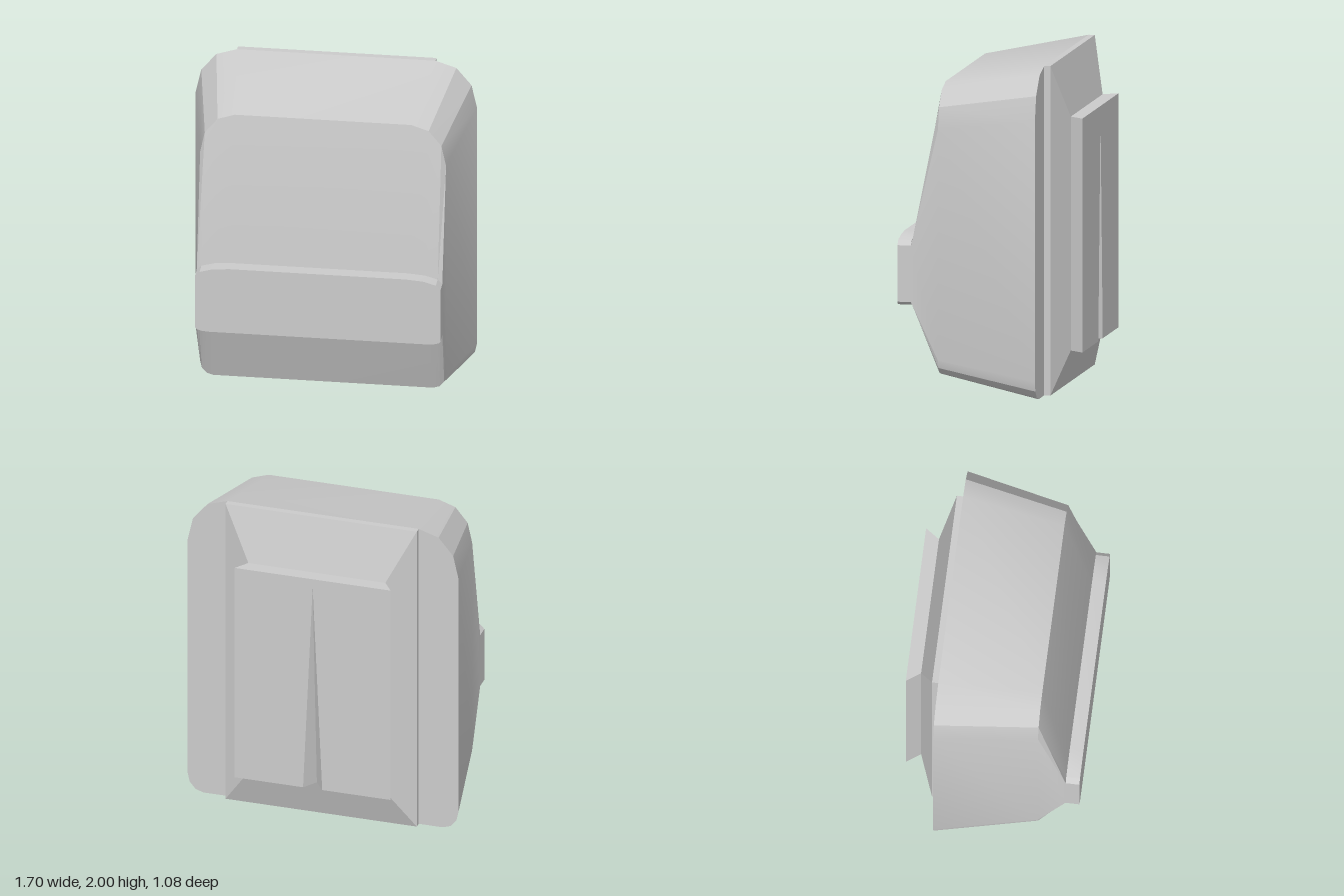
import * as THREE from 'three';
import { toCreasedNormals } from 'three/addons/utils/BufferGeometryUtils.js';

const material = new THREE.MeshStandardMaterial({ color: 0xcccccc });

function toMesh(positions, name, crease) {
  const geometry = new THREE.BufferGeometry();
  geometry.setAttribute('position', new THREE.Float32BufferAttribute(positions, 3));
  const mesh = new THREE.Mesh(toCreasedNormals(geometry, crease), material);
  mesh.name = name;
  return mesh;
}

// Convex polygon as a triangle fan, optionally flipped
function addFan(out, points, flip = false) {
  for (let i = 1; i < points.length - 1; i++) {
    const [b, c] = flip ? [points[i + 1], points[i]] : [points[i], points[i + 1]];
    out.push(...points[0], ...b, ...c);
  }
}

// Rounded outline with separate elliptical corners at the top and bottom
function roundedRing(z, w, bottom, top, topCorner, bottomCorner) {
  const steps = 3;
  const right = [];
  const [bx, by] = bottomCorner, [tx, ty] = topCorner;
  for (let i = 0; i <= steps; i++) {
    const a = (1 - i / steps) * Math.PI / 2;
    right.push([w - bx + bx * Math.cos(a), bottom + by - by * Math.sin(a), z]);
  }
  for (let i = 0; i <= steps; i++) {
    const a = (i / steps) * Math.PI / 2;
    right.push([w - tx + tx * Math.cos(a), top - ty + ty * Math.sin(a), z]);
  }
  return [...right, ...right.map(([x, y]) => [-x, y, z]).reverse()];
}

const rectRing = (z, w, bottom, top) =>
  [[w, bottom, z], [w, top, z], [-w, top, z], [-w, bottom, z]];

// Skin through rings ordered from back to front, closed at both ends
function loft(rings, name, crease) {
  const out = [];
  for (let r = 0; r < rings.length - 1; r++) {
    const n = rings[r].length;
    for (let i = 0; i < n; i++) {
      const j = (i + 1) % n;
      addFan(out, [rings[r][i], rings[r][j], rings[r + 1][j], rings[r + 1][i]]);
    }
  }
  addFan(out, rings[0], true);
  addFan(out, rings[rings.length - 1]);
  return toMesh(out, name, crease);
}

// Flared back pad, mirrored halves around a tapering V groove
function backPad() {
  const out = [];
  const zF = -0.455, zB = -0.54, low = 0.25, high = 1.67;
  for (const s of [1, -1]) {
    const flip = s < 0;
    const innerLow = [s * 0.43, low, zF], innerHigh = [s * 0.43, high, zF];
    const outerLow = [s * 0.49, low, zB], outerHigh = [s * 0.49, high, zB];
    const midFront = [0, high, zF], midBack = [0, high, zB];
    const apex = [0, 1.62, zB], lip = [s * 0.06, low, zB], valley = [0, low, zF];
    addFan(out, [outerHigh, outerLow, lip, apex, midBack], flip);
    addFan(out, [apex, lip, valley], flip);
    addFan(out, [valley, lip, outerLow, innerLow], flip);
    addFan(out, [midFront, innerHigh, outerHigh, midBack], flip);
    addFan(out, [innerLow, outerLow, outerHigh, innerHigh], flip);
  }
  return toMesh(out, 'backPad', 0.1);
}

export function createModel() {
  const model = new THREE.Group();
  model.name = 'backpack';

  // Tapered main shell
  model.add(loft([
    roundedRing(-0.33, 0.85, 0, 2, [0.25, 0.3], [0.1, 0.12]),
    roundedRing(0.29, 0.743, 0.12, 1.875, [0.21, 0.26], [0.08, 0.09]),
    roundedRing(0.457, 0.742, 0.556, 0.93, [0.21, 0.03], [0.08, 0.006]),
  ], 'shell', 0.35));

  // Raised band across the front
  model.add(loft([
    roundedRing(0.457, 0.742, 0.535, 0.963, [0.21, 0.06], [0.08, 0.025]),
    roundedRing(0.54, 0.742, 0.535, 0.963, [0.21, 0.06], [0.08, 0.025]),
  ], 'frontBand', 0.35));

  // Bevelled panel on the back
  model.add(loft([
    rectRing(-0.455, 0.43, 0.25, 1.67),
    rectRing(-0.368, 0.6, 0, 2),
    rectRing(-0.33, 0.6, 0, 2),
  ], 'backPanel', 0.1));

  model.add(backPad());
  return model;
}
